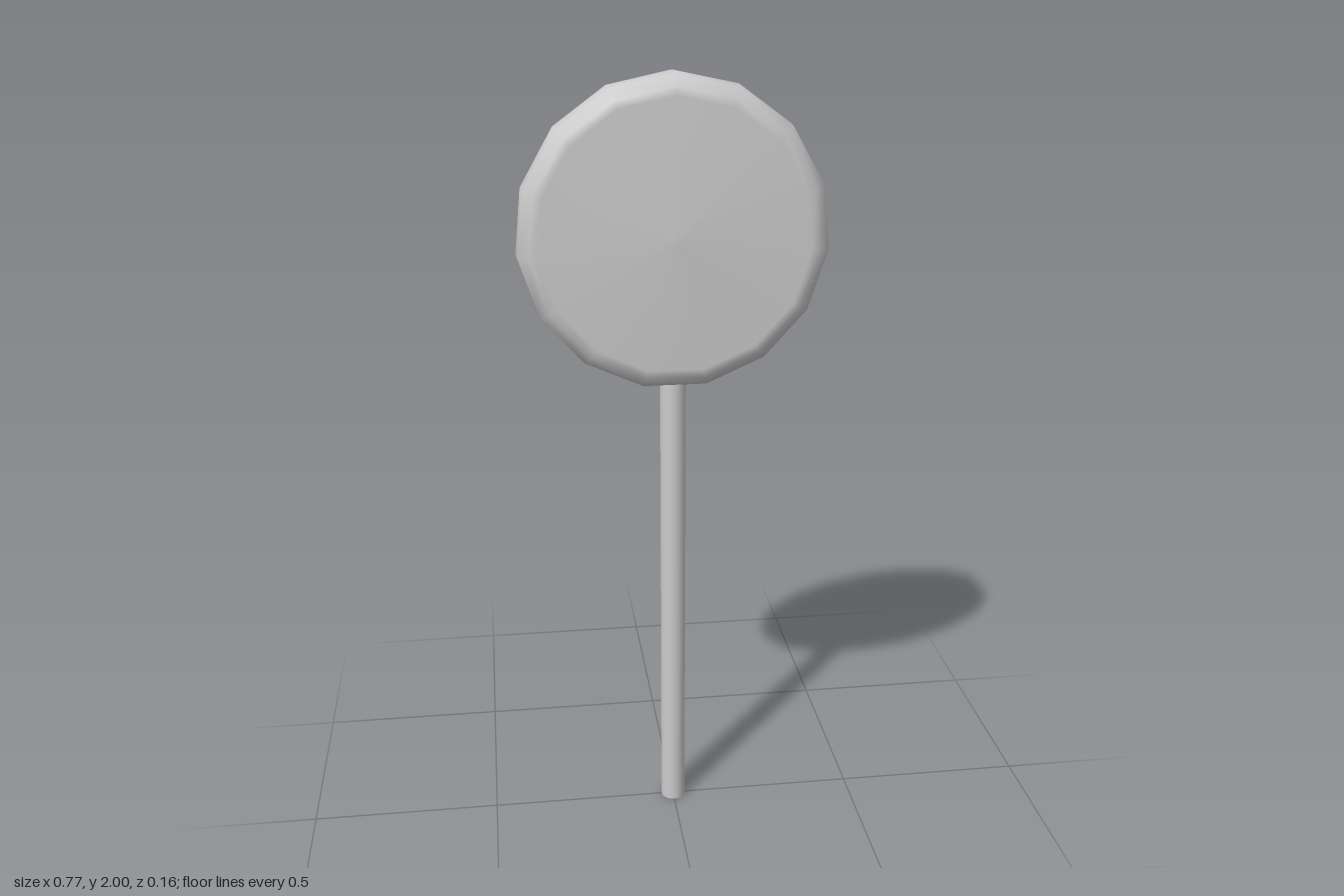
import * as THREE from 'three';

export function createModel() {
  const group = new THREE.Group();
  const material = new THREE.MeshStandardMaterial({ color: 0xcccccc });

  // Candy: a 15-sided disc with shallow conical faces and a rounded rim
  const half = [[0, 0.081], [0.335, 0.067], [0.356, 0.065], [0.382, 0.042]];
  const profile = [
    ...half.map(([r, z]) => new THREE.Vector2(r, -z)),
    new THREE.Vector2(0.386, 0),
    ...half.map(([r, z]) => new THREE.Vector2(r, z)).reverse(),
  ];
  // Start angle puts one corner at the top and a flat side over the stick
  const discGeometry = new THREE.LatheGeometry(profile, 15, Math.PI);
  discGeometry.rotateX(Math.PI / 2);
  const candy = new THREE.Mesh(discGeometry, material);
  candy.name = 'candyDisc';
  candy.position.y = 1.614;
  group.add(candy);

  // Stick: runs from the ground into the bottom of the disc
  const stickLength = 1.26;
  const stick = new THREE.Mesh(
    new THREE.CylinderGeometry(0.033, 0.033, stickLength, 16), material);
  stick.name = 'stick';
  stick.position.y = stickLength / 2;
  group.add(stick);

  return group;
}
